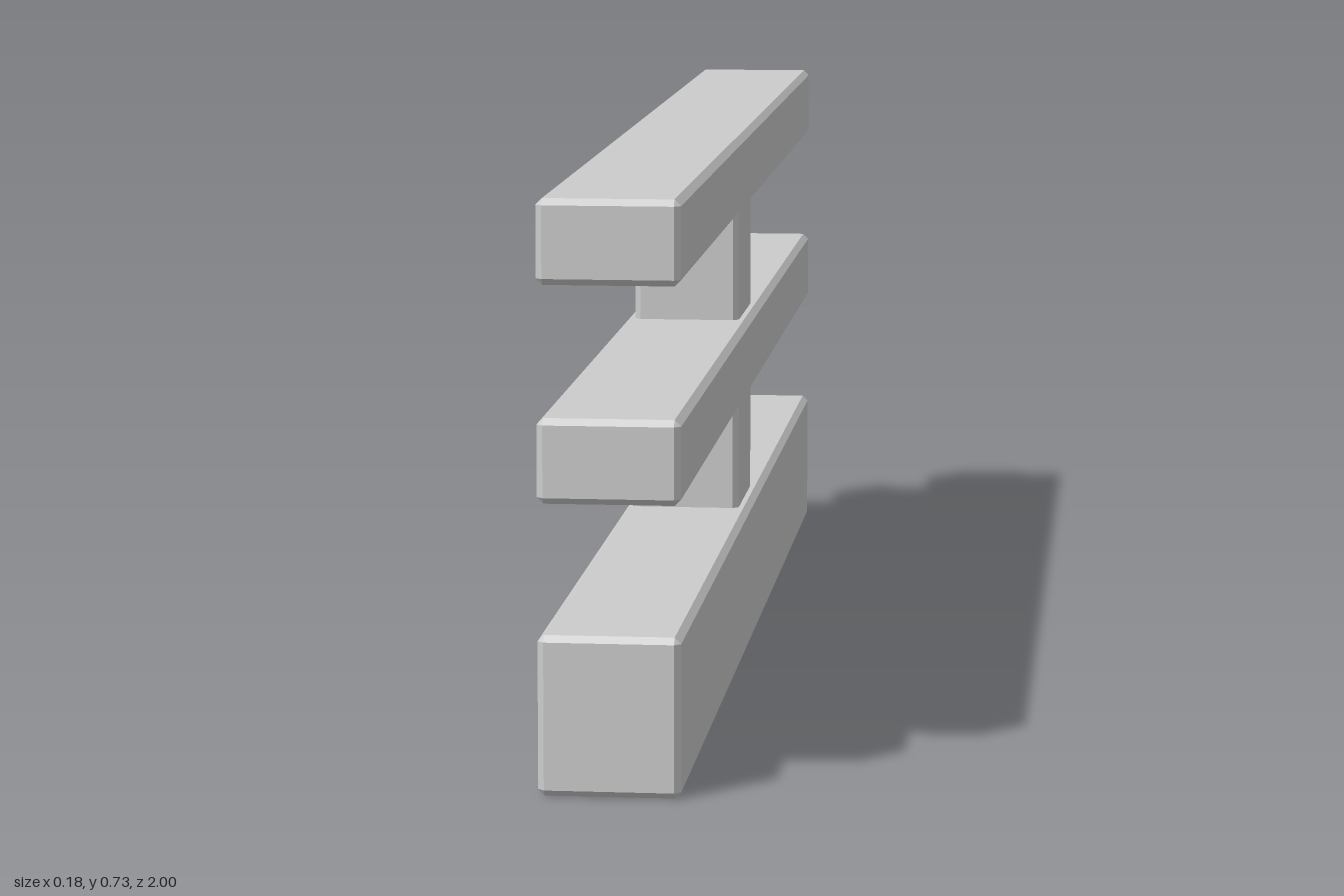
import * as THREE from 'three';
import { ConvexGeometry } from 'three/addons/geometries/ConvexGeometry.js';

const material = new THREE.MeshStandardMaterial({ color: 0xcccccc, flatShading: true });

// Box with every edge cut by a flat chamfer c: three corner points per corner
function chamferedBox(w, h, d, c) {
  const points = [];
  for (const sx of [-1, 1]) for (const sy of [-1, 1]) for (const sz of [-1, 1]) {
    const x = w / 2, y = h / 2, z = d / 2;
    points.push(
      new THREE.Vector3(sx * x, sy * (y - c), sz * (z - c)),
      new THREE.Vector3(sx * (x - c), sy * y, sz * (z - c)),
      new THREE.Vector3(sx * (x - c), sy * (y - c), sz * z));
  }
  return new ConvexGeometry(points);
}

export function createModel() {
  const group = new THREE.Group();

  const add = (name, w, y0, y1, z0, z1) => {
    const mesh = new THREE.Mesh(chamferedBox(w, y1 - y0, z1 - z0, 0.008), material);
    mesh.name = name;
    mesh.position.set(0, (y0 + y1) / 2, (z0 + z1) / 2);
    group.add(mesh);
  };

  // Long horizontal beams
  add('baseBeam', 0.176, 0, 0.2, -1, 1);
  add('middleRail', 0.176, 0.362, 0.467, -1, 1);
  add('topRail', 0.176, 0.629, 0.734, -1, 1);

  // Short posts between the beams, ends sunk into them
  add('lowerPost', 0.146, 0.19, 0.372, -0.116, 0.08);
  add('upperPost', 0.146, 0.457, 0.639, -0.116, 0.08);

  return group;
}
